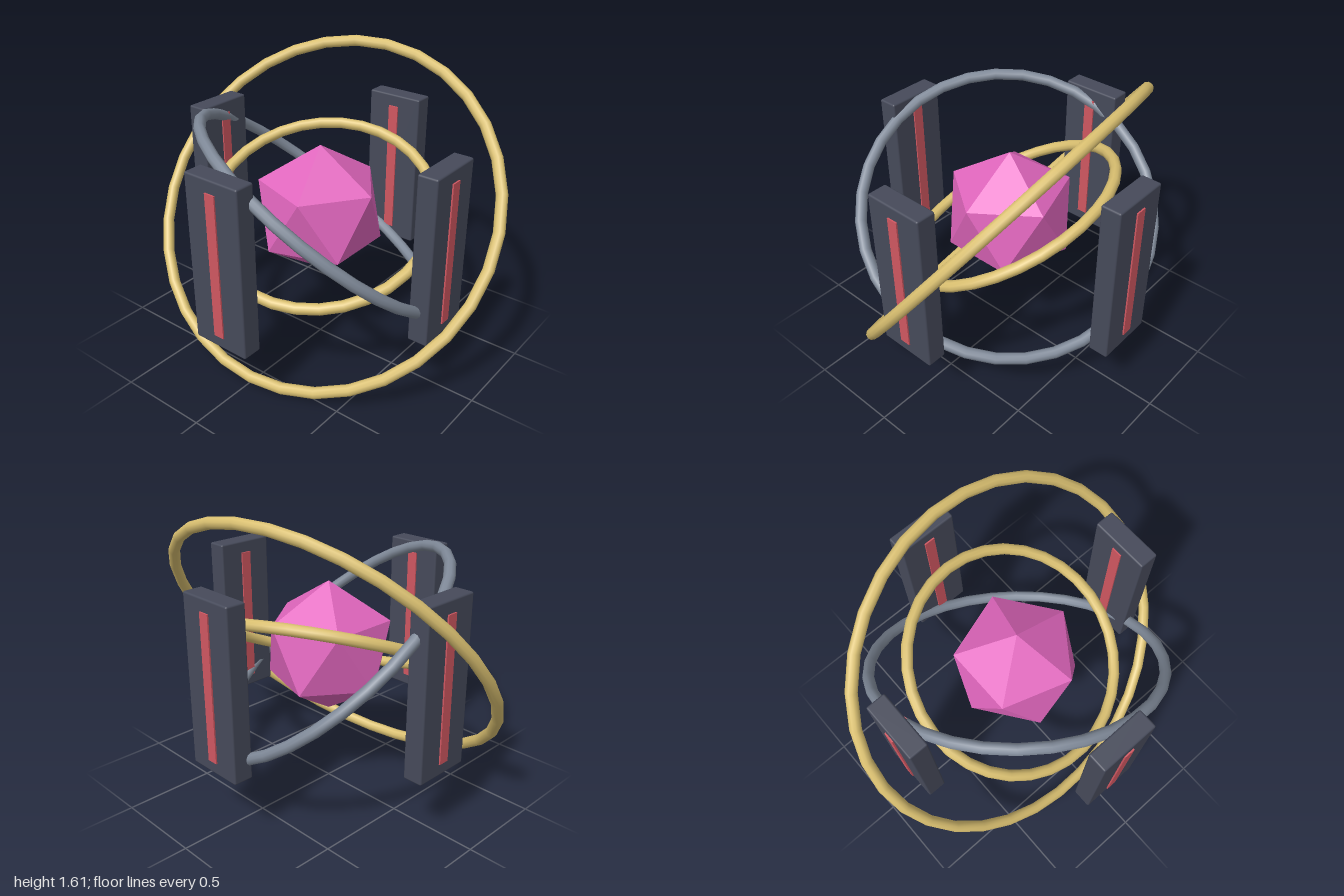
import * as THREE from 'three';
import { RoundedBoxGeometry } from 'three/addons/geometries/RoundedBoxGeometry.js';

const CENTRE_Y = 0.812;

function material(name, color, flatShading = false) {
  const m = new THREE.MeshStandardMaterial({ color, flatShading });
  m.name = name;
  return m;
}

function addMesh(parent, name, geometry, mat) {
  const mesh = new THREE.Mesh(geometry, mat);
  mesh.name = name;
  parent.add(mesh);
  return mesh;
}

export function createModel() {
  const model = new THREE.Group();
  model.name = 'ringedCore';

  const gold = material('gold', 0xd9bf70);
  const steel = material('steel blue', 0x7f8998);
  const slate = material('dark slate', 0x464a5a);
  const red = material('red', 0xd05761);
  const pink = material('pink', 0xe066bd, true);

  // Faceted core standing on a vertex
  const core = addMesh(model, 'core', new THREE.IcosahedronGeometry(0.37, 0), pink);
  core.rotation.z = -Math.atan(2 / (1 + Math.sqrt(5)));
  core.position.y = CENTRE_Y;

  // Tilted rings: name, radius, material, tilt about x, tilt about y
  const rings = [
    ['outerRing', 0.976, gold, -0.659, 0.116],
    ['middleRing', 0.796, steel, 1.01, -0.422],
    ['innerRing', 0.619, gold, -1.123, 0.195],
  ];
  for (const [name, radius, mat, tiltX, tiltY] of rings) {
    const ring = addMesh(model, name, new THREE.TorusGeometry(radius, 0.031, 10, 32), mat);
    ring.rotation.set(tiltX, tiltY, 0);
    ring.position.y = CENTRE_Y;
  }

  // Four upright panels, each with a strip showing on both faces
  const panelGeometry = new RoundedBoxGeometry(0.332, 0.915, 0.11, 2, 0.01);
  const stripGeometry = new THREE.BoxGeometry(0.06, 0.78, 0.126);
  ['front', 'left', 'back', 'right'].forEach((side, i) => {
    const pylon = new THREE.Group();
    pylon.name = side + 'Pylon';
    addMesh(pylon, 'panel', panelGeometry, slate);
    addMesh(pylon, 'strip', stripGeometry, red);
    const angle = (i * Math.PI) / 2;
    pylon.rotation.y = angle;
    pylon.position.set(Math.sin(angle) * 0.744, CENTRE_Y, Math.cos(angle) * 0.744);
    model.add(pylon);
  });

  return model;
}
